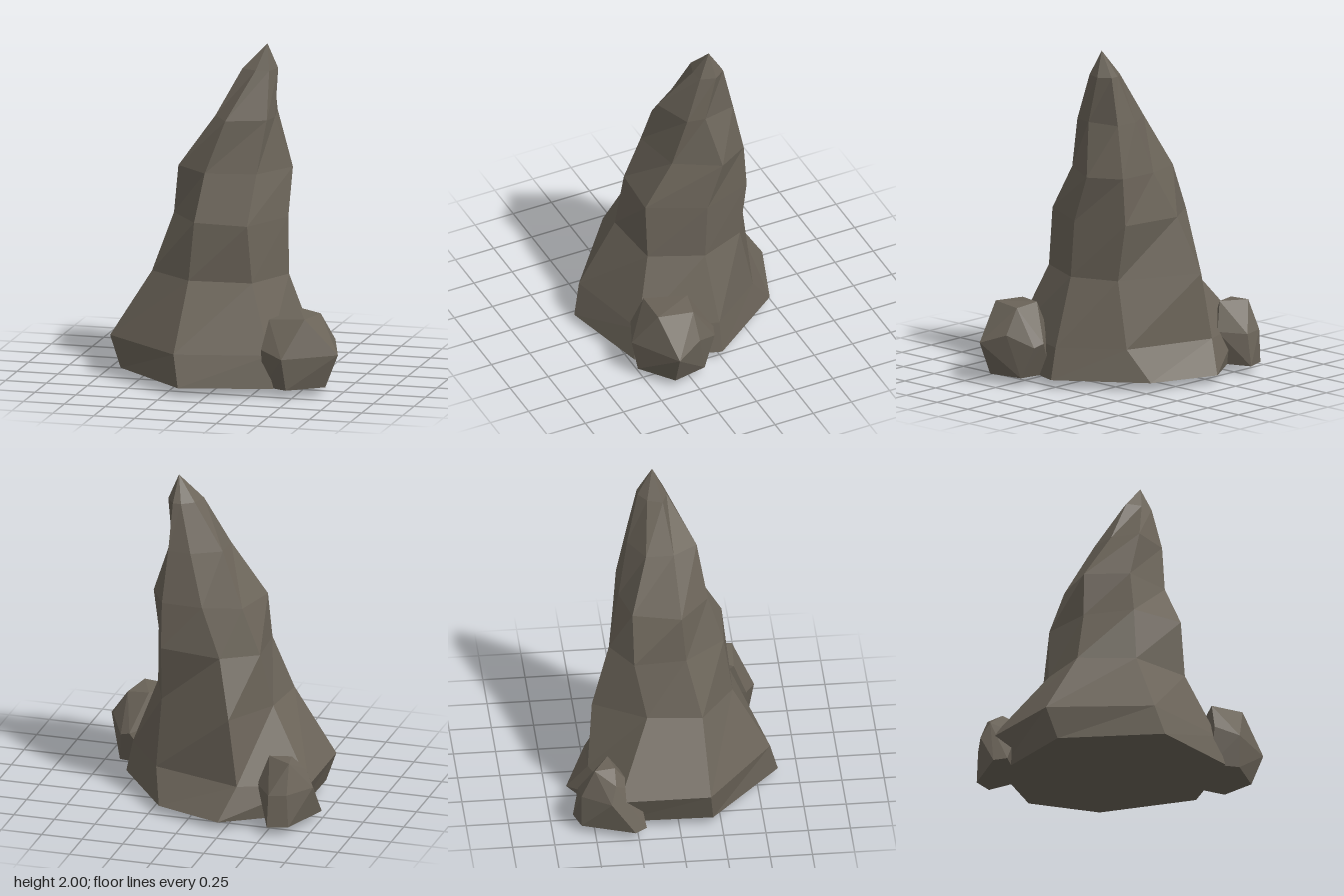
import * as THREE from 'three';
import { ConvexGeometry } from 'three/addons/geometries/ConvexGeometry.js';

const stone = new THREE.MeshStandardMaterial({ color: 0x6b6459 });
stone.name = 'greyBrownStone';

// Cross-sections of the spire: height, then seven [x, z] corners from the front, turning to +x
const rings = [
  [0.05, [[-0.16, 0.63], [0.38, 0.5], [0.54, 0], [0.19, -0.48], [-0.22, -0.63], [-0.62, -0.38], [-0.63, 0.2]]],
  [0.24, [[-0.2, 0.58], [0.35, 0.46], [0.5, 0], [0.25, -0.34], [-0.3, -0.51], [-0.7, -0.36], [-0.7, 0.18]]],
  [0.64, [[-0.17, 0.36], [0.21, 0.33], [0.35, 0.02], [0.24, -0.26], [-0.24, -0.48], [-0.42, -0.17], [-0.45, 0.155]]],
  [0.98, [[-0.15, 0.31], [0.18, 0.33], [0.34, 0], [0.23, -0.31], [-0.15, -0.37], [-0.36, -0.24], [-0.34, 0.07]]],
  [1.26, [[-0.11, 0.22], [0.19, 0.16], [0.34, -0.1], [0.23, -0.29], [-0.02, -0.3], [-0.25, -0.24], [-0.32, 0.045]]],
  [1.57, [[0, 0.165], [0.23, 0.08], [0.25, -0.03], [0.21, -0.23], [0.07, -0.24], [-0.1, -0.145], [-0.1, 0.02]]],
  [1.85, [[0.14, 0], [0.22, -0.01], [0.25, -0.1], [0.2, -0.17], [0.15, -0.17], [0.08, -0.12], [0.05, -0.03]]],
];

// Skins the rings and closes them with an apex and a shallow underside point
function spireGeometry(apex, foot) {
  const n = rings[0][1].length;
  const positions = rings.flatMap(([y, ring]) => ring.flatMap(([x, z]) => [x, y, z]));
  positions.push(...apex, ...foot);
  const top = rings.length * n;
  const index = [];
  for (let j = 0; j < n; j++) {
    const k = (j + 1) % n;
    for (let i = 0; i < rings.length - 1; i++) {
      const a = i * n + j, b = i * n + k;
      index.push(a, b, b + n, a, b + n, a + n);
    }
    index.push(top - n + j, top - n + k, top);
    index.push(k, j, top + 1);
  }
  const indexed = new THREE.BufferGeometry();
  indexed.setAttribute('position', new THREE.Float32BufferAttribute(positions, 3));
  indexed.setIndex(index);
  const geometry = indexed.toNonIndexed(); // faceted normals
  geometry.computeVertexNormals();
  return geometry;
}

// Faceted boulder wrapped around a few corner points
function boulderGeometry(points) {
  return new ConvexGeometry(points.map((p) => new THREE.Vector3(...p)));
}

export function createModel() {
  const group = new THREE.Group();
  group.name = 'rockSpire';
  const add = (name, geometry) => {
    const mesh = new THREE.Mesh(geometry, stone);
    mesh.name = name;
    group.add(mesh);
  };

  add('spire', spireGeometry([0.19, 2, -0.08], [-0.07, 0, 0]));

  add('frontLeftBoulder', boulderGeometry([
    [0.46, 0.48, 0.19], [0.6, 0.46, 0.22], [0.56, 0.465, 0.43], [0.34, 0.45, 0.42],
    [0.69, 0.31, 0.22], [0.75, 0.25, 0.38], [0.45, 0.24, 0.55], [0.31, 0.28, 0.49],
    [0.54, 0.26, 0.06], [0.6, 0.24, 0.08], [0.36, 0.3, 0.2],
    [0.67, 0.05, 0.37], [0.47, 0.05, 0.52], [0.31, 0.05, 0.45], [0.63, 0.05, 0.16], [0.42, 0.05, 0.12],
  ]));

  add('backRightBoulder', boulderGeometry([
    [-0.62, 0.42, -0.5], [-0.47, 0.42, -0.41], [-0.6, 0.42, -0.38], [-0.69, 0.35, -0.38],
    [-0.74, 0.25, -0.41], [-0.63, 0.25, -0.58], [-0.52, 0.24, -0.59], [-0.41, 0.25, -0.45],
    [-0.6, 0.25, -0.24],
    [-0.75, 0.05, -0.27], [-0.7, 0.05, -0.2], [-0.64, 0.05, -0.58], [-0.52, 0.05, -0.62], [-0.44, 0.05, -0.42],
  ]));

  return group;
}
